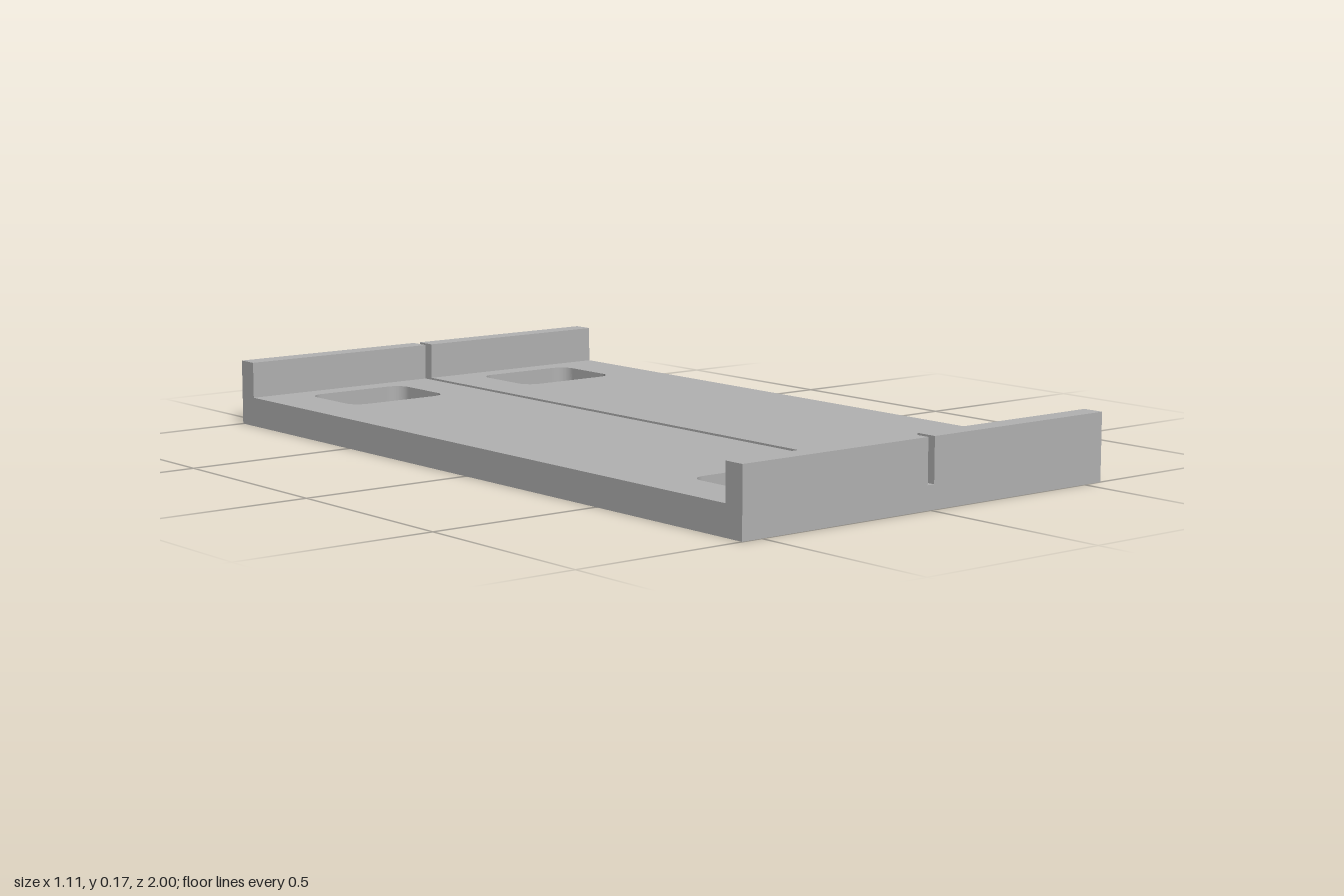
import * as THREE from 'three';

const HALF_W = 0.555, LENGTH = 2, DECK_H = 0.075, LIP_H = 0.167, LIP_T = 0.055;
const SLOT = 0.01, SLOT_Y = 0.058; // half width and floor height of the centre slot

// Rounded rectangle hole
function roundedHole(cx, cy, w, h, r) {
  const p = new THREE.Path(), x = w / 2 - r, y = h / 2 - r, q = Math.PI / 2;
  p.absarc(cx + x, cy + y, r, 0, q);
  p.absarc(cx - x, cy + y, r, q, 2 * q);
  p.absarc(cx - x, cy - y, r, 2 * q, 3 * q);
  p.absarc(cx + x, cy - y, r, 3 * q, 4 * q);
  p.closePath();
  return p;
}

// Box without the listed sides (0 +x, 1 -x, 2 +y, 3 -y, 4 +z, 5 -z)
function openBox(w, h, d, skip) {
  const g = new THREE.BoxGeometry(w, h, d);
  g.setIndex(Array.from(g.index.array).filter((_, i) => !skip.includes(Math.floor(i / 6))));
  g.clearGroups();
  return g;
}

export function createModel() {
  const model = new THREE.Group();
  model.name = 'slottedTray';
  const grey = new THREE.MeshStandardMaterial({ color: 0xb2b2b2 });
  grey.name = 'plain grey';
  const add = (name, geometry, x = 0, y = 0, z = 0) => {
    const mesh = new THREE.Mesh(geometry, grey);
    mesh.name = name;
    mesh.position.set(x, y, z);
    model.add(mesh);
  };

  const lipW = HALF_W - SLOT;
  for (const side of [-1, 1]) {
    const label = side > 0 ? 'left' : 'right';

    // Deck half with two rounded windows
    const a = side > 0 ? SLOT : -HALF_W, b = a + lipW;
    const shape = new THREE.Shape([[a, -1], [b, -1], [b, 1], [a, 1]].map(([x, y]) => new THREE.Vector2(x, y)));
    const hx = side * 0.277 - 0.001;
    for (const hz of [-0.78, 0.775]) shape.holes.push(roundedHole(hx, -hz, 0.288, 0.215, 0.04));
    const deck = new THREE.ExtrudeGeometry(shape, { depth: DECK_H, bevelEnabled: false, curveSegments: 8 });
    deck.rotateX(-Math.PI / 2);
    add(label + 'Deck', deck);

    // Raised lips at both ends
    for (const end of [-1, 1]) {
      add(label + (end > 0 ? 'FrontLip' : 'BackLip'), openBox(lipW, LIP_H - DECK_H, LIP_T, [3]),
        side * (SLOT + lipW / 2), (LIP_H + DECK_H) / 2, end * (1 - LIP_T / 2));
    }
  }

  // Floor of the centre slot
  add('slotFloor', openBox(SLOT * 2, SLOT_Y, LENGTH, [0, 1]), 0, SLOT_Y / 2, 0);
  return model;
}
